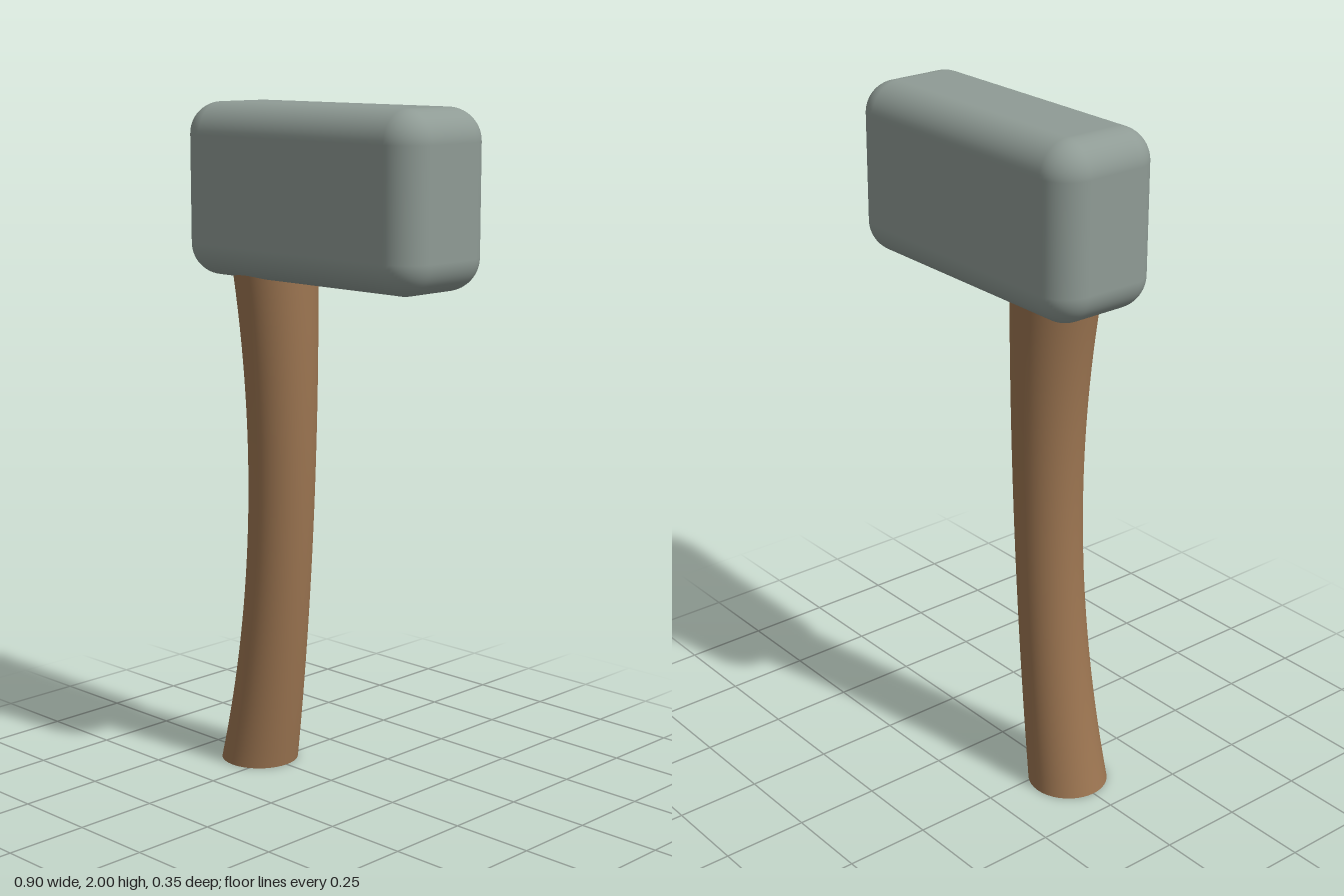
import * as THREE from 'three';
import { RoundedBoxGeometry } from 'three/addons/geometries/RoundedBoxGeometry.js';

const HANDLE_TOP = 1.6;

// Sideways bow and thickness of the handle at height y
const bow = (y) => -0.3075 + 0.2035 * y - 0.099 * y * y;
const thickness = (y) => 0.117 - 0.0553 * y + 0.04 * y * y;

export function createModel() {
  const stone = new THREE.MeshStandardMaterial({ name: 'grey stone', color: 0x8f9b95 });
  const wood = new THREE.MeshStandardMaterial({ name: 'brown wood', color: 0x9c7551 });
  const model = new THREE.Group();
  model.name = 'hammer';

  // Rounded block head
  const head = new THREE.Mesh(new RoundedBoxGeometry(0.905, 0.5, 0.35, 8, 0.093), stone);
  head.name = 'head';
  head.position.y = 1.75;
  model.add(head);

  // Handle: a cylinder bent and flared by height, running up into the head
  const geometry = new THREE.CylinderGeometry(1, 1, HANDLE_TOP, 40, 32);
  geometry.translate(0, HANDLE_TOP / 2, 0);
  const p = geometry.attributes.position;
  for (let i = 0; i < p.count; i++) {
    const y = p.getY(i);
    const r = thickness(y);
    p.setXYZ(i, bow(y) + p.getX(i) * r, y, p.getZ(i) * r);
  }
  geometry.computeVertexNormals();

  // Match the normals along the side seam
  const n = geometry.attributes.normal;
  for (let row = 0; row <= 32; row++) {
    const a = row * 41, b = a + 40;
    const v = new THREE.Vector3().fromBufferAttribute(n, a)
      .add(new THREE.Vector3().fromBufferAttribute(n, b)).normalize();
    n.setXYZ(a, v.x, v.y, v.z);
    n.setXYZ(b, v.x, v.y, v.z);
  }
  const handle = new THREE.Mesh(geometry, wood);
  handle.name = 'handle';
  model.add(handle);

  return model;
}
